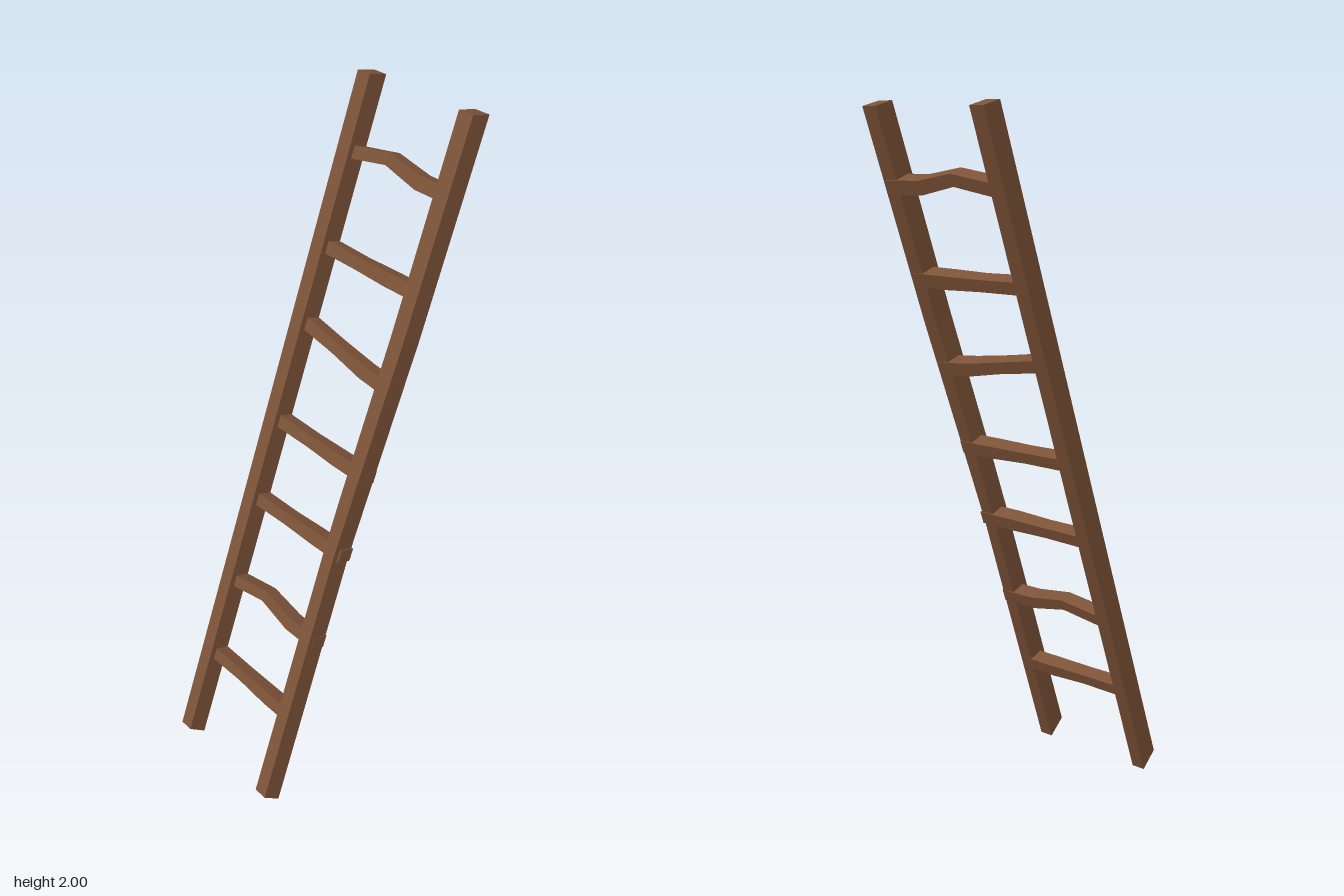
import * as THREE from 'three';

const LEAN = THREE.MathUtils.degToRad(20);
const CENTRE_Y = 1.021;

// Flat-sided beam through four-cornered cross-sections
// (corners run counter-clockwise about the direction of travel)
function beam(sections) {
  const pos = [];
  const quad = (a, b, c, d) => pos.push(...a, ...b, ...c, ...a, ...c, ...d);
  for (let s = 0; s < sections.length - 1; s++) {
    const a = sections[s], b = sections[s + 1];
    for (let i = 0; i < 4; i++) {
      const j = (i + 1) % 4;
      quad(a[i], a[j], b[j], b[i]);
    }
  }
  const [f, l] = [sections[0], sections[sections.length - 1]];
  quad(f[3], f[2], f[1], f[0]);
  quad(l[0], l[1], l[2], l[3]);
  const g = new THREE.BufferGeometry();
  g.setAttribute('position', new THREE.Float32BufferAttribute(pos, 3));
  g.computeVertexNormals();
  return g;
}

// Rail stations: [front height, back height, x min, x max, front z, back z]
const rail = (stations) => beam(stations.map(([vf, vb, x0, x1, wf, wb]) => [
  [x0, vf, wf], [x1, vf, wf], [x1, vb, wb], [x0, vb, wb],
]));

// Rung stations across the width: x, depth, height
const RUNG = [
  [-0.19, 0.045, 0.037],
  [-0.04, 0.043, 0.035],
  [0.08, 0.047, 0.04],
  [0.196, 0.047, 0.039],
];
const RUNG_Z = -0.01;

function rung(heights) {
  return beam(RUNG.map(([x, d, h], i) => {
    const v = (heights[i] - CENTRE_Y - RUNG_Z * Math.sin(LEAN)) / Math.cos(LEAN);
    const top = v + h / 2, low = v - h / 2;
    const back = RUNG_Z - d / 2, front = RUNG_Z + d / 2;
    return [[x, top, back], [x, top, front], [x, low, front], [x, low, back]];
  }));
}

export function createModel() {
  const model = new THREE.Group();
  model.name = 'ladder';
  const wood = new THREE.MeshStandardMaterial({ color: 0x7d5338 });
  wood.name = 'brown wood';

  // Everything is built upright, then leaned back
  const frame = new THREE.Group();
  frame.name = 'leaningFrame';
  frame.position.y = CENTRE_Y;
  frame.rotation.x = -LEAN;
  model.add(frame);

  const add = (name, geometry) => {
    const mesh = new THREE.Mesh(geometry, wood);
    mesh.name = name;
    frame.add(mesh);
  };

  // Side rails: one straight, one with a slight bend inward
  add('rightRail', rail([
    [-1.05, -1.074, -0.208, -0.166, 0.031, -0.034],
    [1.031, 1.038, -0.208, -0.162, 0.029, -0.032],
  ]));
  add('leftRail', rail([
    [-1.05, -1.074, 0.16, 0.203, 0.031, -0.034],
    [-0.24, -0.24, 0.15, 0.19, 0.031, -0.031],
    [-0.06, -0.06, 0.151, 0.194, 0.031, -0.031],
    [0.43, 0.43, 0.16, 0.206, 0.031, -0.031],
    [1.031, 1.038, 0.159, 0.207, 0.029, -0.032],
  ]));

  // Uneven rungs: height at each station
  [
    [0.294, 0.294, 0.291, 0.291],
    [0.537, 0.561, 0.539, 0.538],
    [0.804, 0.806, 0.808, 0.809],
    [1.045, 1.043, 1.041, 1.041],
    [1.333, 1.311, 1.292, 1.282],
    [1.542, 1.539, 1.538, 1.539],
    [1.788, 1.812, 1.789, 1.788],
  ].forEach((h, i) => add(`rung${i + 1}`, rung(h)));

  return model;
}
